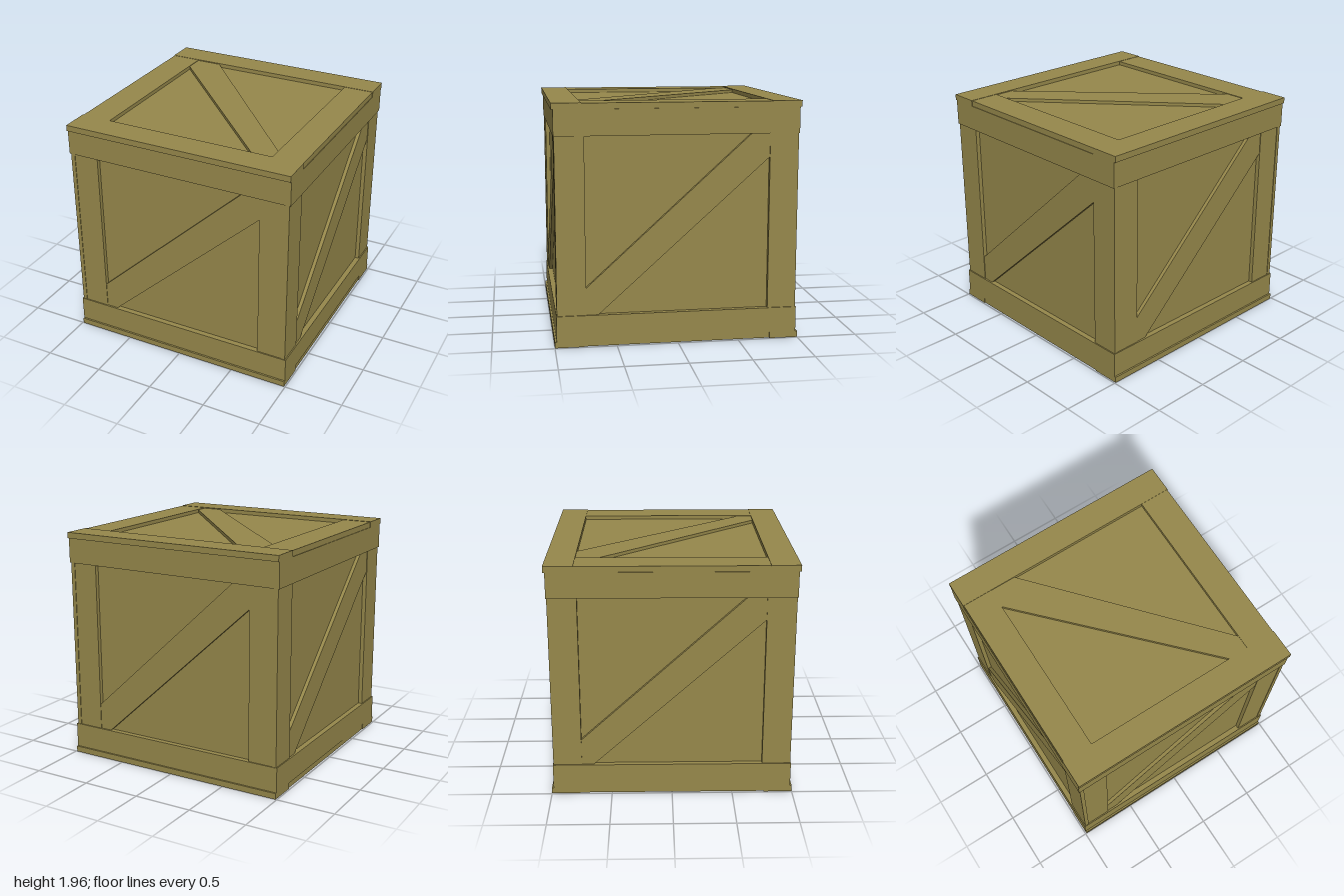
import * as THREE from 'three';

const wood = new THREE.MeshStandardMaterial({ color: 0x96884b, flatShading: true });

// Box given by its min and max corners
function board(parent, name, [x0, y0, z0], [x1, y1, z1]) {
  const mesh = new THREE.Mesh(new THREE.BoxGeometry(x1 - x0, y1 - y0, z1 - z0), wood);
  mesh.position.set((x0 + x1) / 2, (y0 + y1) / 2, (z0 + z1) / 2);
  mesh.name = name;
  parent.add(mesh);
}

// Diagonal plank cut off square by its frame, running lower left to upper right
function brace(parent, name, hw, y0, y1, cut, z0, z1) {
  const shape = new THREE.Shape([
    [-hw, y0], [-hw + cut.low, y0], [hw, y1 - cut.side], [hw, y1], [hw - cut.high, y1], [-hw, y0 + cut.side2],
  ].map(([x, y]) => new THREE.Vector2(x, y)));
  const geo = new THREE.ExtrudeGeometry(shape, { depth: z1 - z0, bevelEnabled: false });
  geo.translate(0, 0, z0);
  const mesh = new THREE.Mesh(geo, wood);
  mesh.name = name;
  parent.add(mesh);
}

// Upright wall facing +z: two rails, two posts and a brace
function wall(name, outer, inner, core, angle) {
  const g = new THREE.Group();
  g.name = name;
  const face = core + 0.045;
  board(g, 'lowerRail', [-outer, 0.05, core], [outer, 0.26, face]);
  board(g, 'upperRail', [-outer, 1.70, core], [outer, 1.91, face]);
  for (const s of [-1, 1]) {
    const xs = [s * inner, s * Math.min(outer, 0.98)].sort((a, b) => a - b);
    board(g, 'post', [xs[0], 0.26, core], [xs[1], 1.70, face - 0.01]);
  }
  brace(g, 'brace', inner, 0.26, 1.70, { low: 0.10, side: 0.19, high: 0.15, side2: 0.22 }, core - 0.01, face - 0.015);
  g.rotation.y = angle;
  return g;
}

// Horizontal frame facing up, measured from the crate centre
function lid(name, flip) {
  const g = new THREE.Group();
  g.name = name;
  for (const s of [-1, 1]) {
    const zs = [s * 0.765, s].sort((a, b) => a - b);
    const xs = [s * 0.73, s * 0.985].sort((a, b) => a - b);
    board(g, 'endBoard', [-0.99, 0.93, zs[0]], [0.99, 0.98, zs[1]]);
    board(g, 'sideBoard', [xs[0], 0.93, -0.765], [xs[1], 0.977, 0.765]);
  }
  // Brace drawn in the vertical plane, laid flat and mirrored by a half turn
  const flat = new THREE.Group();
  flat.name = 'lidBrace';
  brace(flat, 'brace', 0.765, -0.73, 0.73, { low: 0.12, side: 0.22, high: 0.17, side2: 0.17 }, 0.93, 0.972);
  flat.rotation.set(-Math.PI / 2, 0, Math.PI / 2);
  g.add(flat);
  g.position.y = 0.98;
  if (flip) g.rotation.x = Math.PI;
  return g;
}

export function createModel() {
  const crate = new THREE.Group();
  crate.name = 'crate';

  // Recessed panels
  board(crate, 'innerPanels', [-0.945, 0.035, -0.94], [0.945, 1.925, 0.94]);

  // Front and back fit between the full-width side walls
  crate.add(wall('frontWall', 0.945, 0.73, 0.94, 0));
  crate.add(wall('backWall', 0.945, 0.73, 0.94, Math.PI));
  crate.add(wall('leftWall', 0.985, 0.745, 0.945, Math.PI / 2));
  crate.add(wall('rightWall', 0.985, 0.745, 0.945, -Math.PI / 2));

  crate.add(lid('top', false));
  crate.add(lid('base', true));
  return crate;
}
